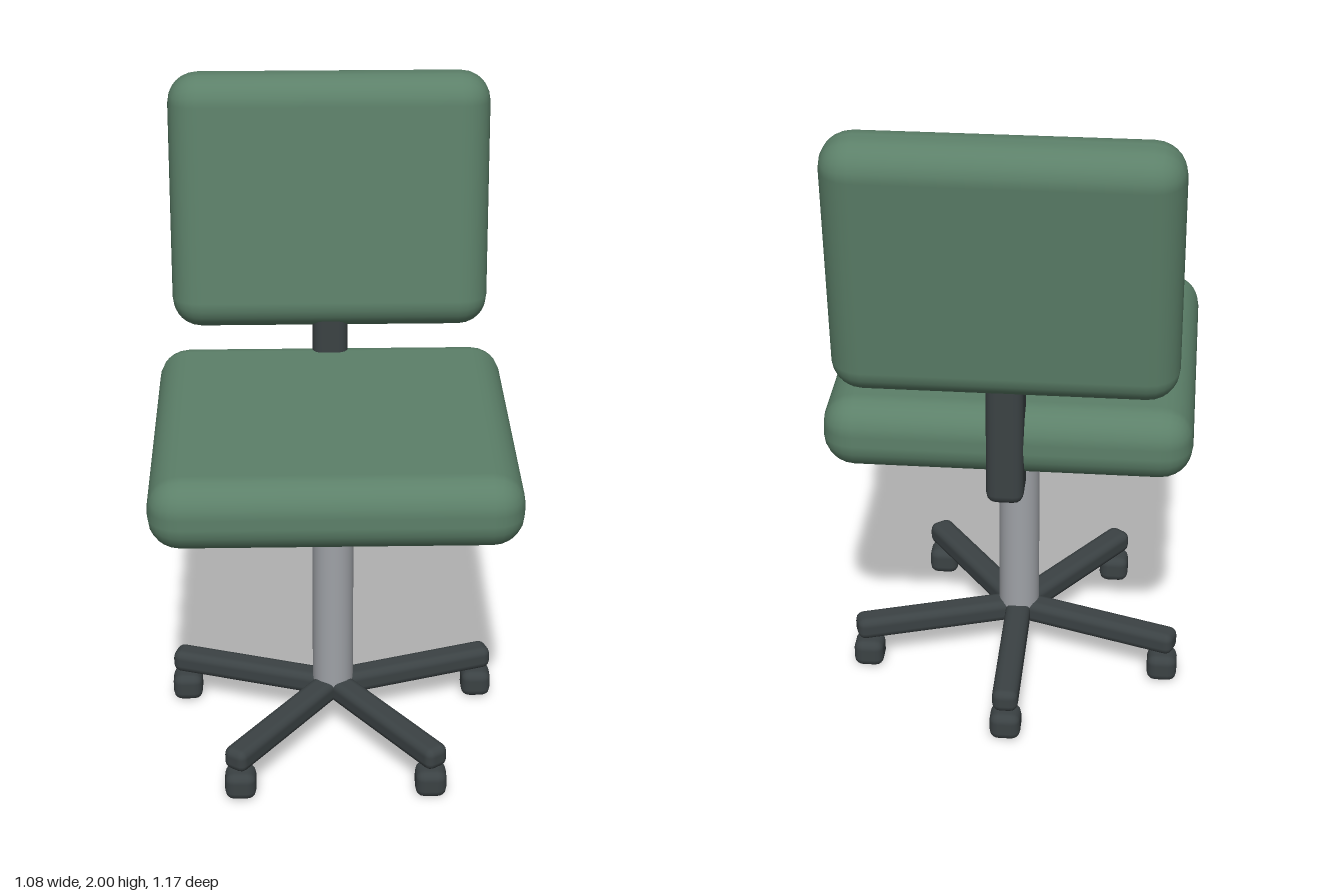
import * as THREE from 'three';
import { RoundedBoxGeometry } from 'three/addons/geometries/RoundedBoxGeometry.js';

const material = (name, color) => {
  const m = new THREE.MeshStandardMaterial({ color });
  m.name = name;
  return m;
};

export function createModel() {
  const fabric = material('green fabric', 0x5c8069);
  const plastic = material('dark plastic', 0x3b4244);
  const steel = material('grey steel', 0x9fa2a7);

  const chair = new THREE.Group();
  chair.name = 'officeChair';

  const add = (parent, name, geometry, mat, x, y, z) => {
    const mesh = new THREE.Mesh(geometry, mat);
    mesh.name = name;
    mesh.position.set(x, y, z);
    parent.add(mesh);
    return mesh;
  };
  const pad = (w, h, d, r, seg = 3) => new RoundedBoxGeometry(w, h, d, seg, r);

  // Cushions
  add(chair, 'seat', pad(1.08, 0.22, 1.03, 0.095), fabric, 0, 1.017, 0.073);
  const backrest = add(chair, 'backrest', pad(0.99, 0.8, 0.2, 0.092), fabric, 0, 1.6, -0.447);
  backrest.rotation.x = -0.12;

  // Bar joining the seat to the backrest
  add(chair, 'backPost', pad(0.11, 0.48, 0.132, 0.03, 2), plastic, 0, 1.08, -0.4);

  // Column under the seat
  const axisZ = 0.05;
  add(chair, 'column', new THREE.CylinderGeometry(0.064, 0.064, 0.82, 32), steel, 0, 0.54, axisZ);

  // Five-armed base, one arm pointing straight back
  const armLength = 0.535;
  const casterRadius = 0.495;
  const armGeometry = pad(0.08, 0.075, armLength, 0.026, 2);
  armGeometry.translate(0, 0, -armLength / 2);
  const casterGeometry = pad(0.095, 0.09, 0.095, 0.028, 2);
  const base = new THREE.Group();
  base.name = 'base';
  base.position.z = axisZ;
  chair.add(base);
  for (let i = 0; i < 5; i++) {
    const a = (i * Math.PI * 2) / 5;
    const arm = add(base, 'baseArm', armGeometry, plastic, 0, 0.14, 0);
    arm.rotation.y = a;
    add(base, 'caster', casterGeometry, plastic,
      -Math.sin(a) * casterRadius, 0.047, -Math.cos(a) * casterRadius);
  }
  return chair;
}
